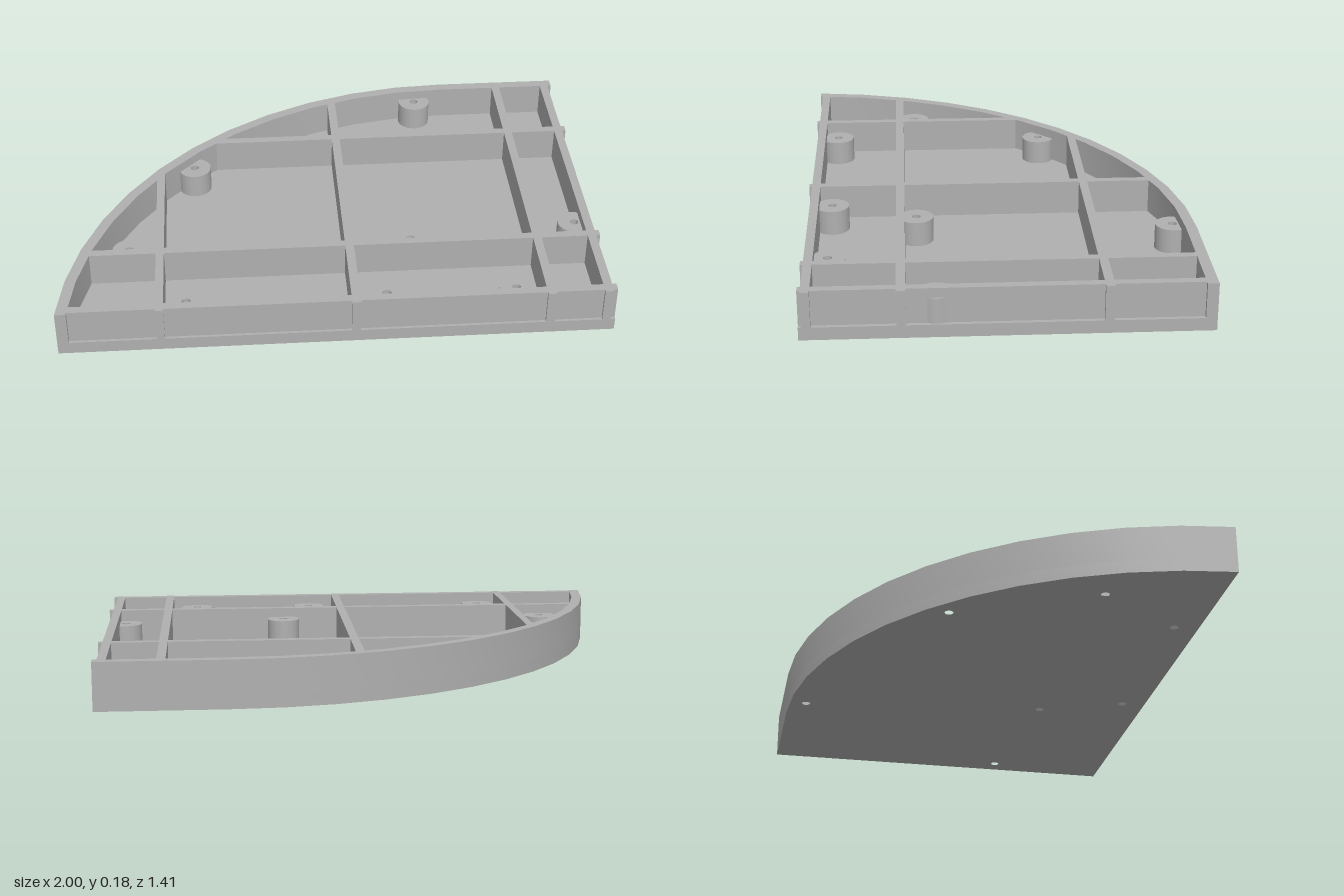
import * as THREE from 'three';
import { toCreasedNormals } from 'three/addons/utils/BufferGeometryUtils.js';

const FLOOR = 0.047, TOP = 0.176, BOSS_TOP = 0.14;
const FRONT = 0.705, BACK = -0.71, SIDE = 1;
const CX = 0.53, CZ = 0.825, R_OUT = 1.535, R_IN = 1.495, R_MID = 1.515;

// Points of the curved edge, from the front corner round to the straight back
function arc(r) {
  const start = Math.asin((CZ - FRONT) / r), pts = [];
  for (let i = 0; i <= 12; i++) {
    const a = start + (Math.PI / 2 - start) * i / 12;
    pts.push([CX - r * Math.cos(a), CZ - r * Math.sin(a)]);
  }
  return pts;
}
// Where a rib meets the middle of the curved wall
const arcX = z => CX - Math.sqrt(R_MID ** 2 - (CZ - z) ** 2);
const arcZ = x => (x > CX ? CZ - R_MID : CZ - Math.sqrt(R_MID ** 2 - (x - CX) ** 2));

const toShape = pts => new THREE.Shape(pts.map(([x, z]) => new THREE.Vector2(x, -z)));

function addHole(shape, x, z, r) {
  shape.holes.push(new THREE.Path().absarc(x, -z, r, 0, Math.PI * 2, true));
}

export function createModel() {
  const group = new THREE.Group();
  const grey = new THREE.MeshStandardMaterial({ color: 0xb0b0b0 });
  grey.name = 'grey plastic';

  // Extrude a plan outline upward between two heights
  function add(name, shape, y0, y1) {
    const geo = new THREE.ExtrudeGeometry(shape, { depth: y1 - y0, bevelEnabled: false, curveSegments: 28 });
    geo.rotateX(-Math.PI / 2).translate(0, y0, 0);
    const mesh = new THREE.Mesh(toCreasedNormals(geo, 0.35), grey);
    mesh.name = name;
    group.add(mesh);
  }

  const bosses = [
    [0.415, -0.64], [-0.505, -0.215], [-0.75, 0.3], [0.3, 0.3],
    [0.93, 0.24], [-0.54, 0.615], [0.18, 0.615], [0.65, 0.615],
  ];

  // Floor plate with screw holes
  const floor = toShape([...arc(R_OUT), [SIDE, BACK], [SIDE, FRONT]]);
  bosses.forEach(([x, z]) => addHole(floor, x, z, 0.016));
  add('floor', floor, 0, FLOOR);

  // Curved outer wall, running on into the straight back wall
  const rim = toShape([...arc(R_OUT), [SIDE, BACK], [SIDE, CZ - R_IN], ...arc(R_IN).reverse()]);
  add('curvedWall', rim, FLOOR, TOP);

  // Ribs along z; their ends stand proud of the front wall
  for (const [name, a, b] of [
    ['leftToRightRib1', -0.65, -0.62], ['leftToRightRib2', 0.048, 0.08],
    ['leftToRightRib3', 0.748, 0.78], ['sideWall', 0.953, 0.985],
  ]) add(name, toShape([[a, arcZ(a)], [b, arcZ(b)], [b, FRONT], [a, FRONT]]), FLOOR, TOP);

  // Ribs along x; their ends stand proud of the side wall
  for (const [name, a, b] of [
    ['backRib', -0.36, -0.328], ['middleRib', 0.343, 0.375], ['frontWall', 0.663, 0.695],
  ]) add(name, toShape([[arcX(a), a], [SIDE, a], [SIDE, b], [arcX(b), b]]), FLOOR, TOP);

  // Screw bosses
  bosses.forEach(([x, z], i) => {
    const ring = new THREE.Shape().absarc(x, -z, 0.063, 0, Math.PI * 2, false);
    addHole(ring, x, z, 0.016);
    add('screwBoss' + (i + 1), ring, FLOOR, BOSS_TOP);
  });

  return group;
}
